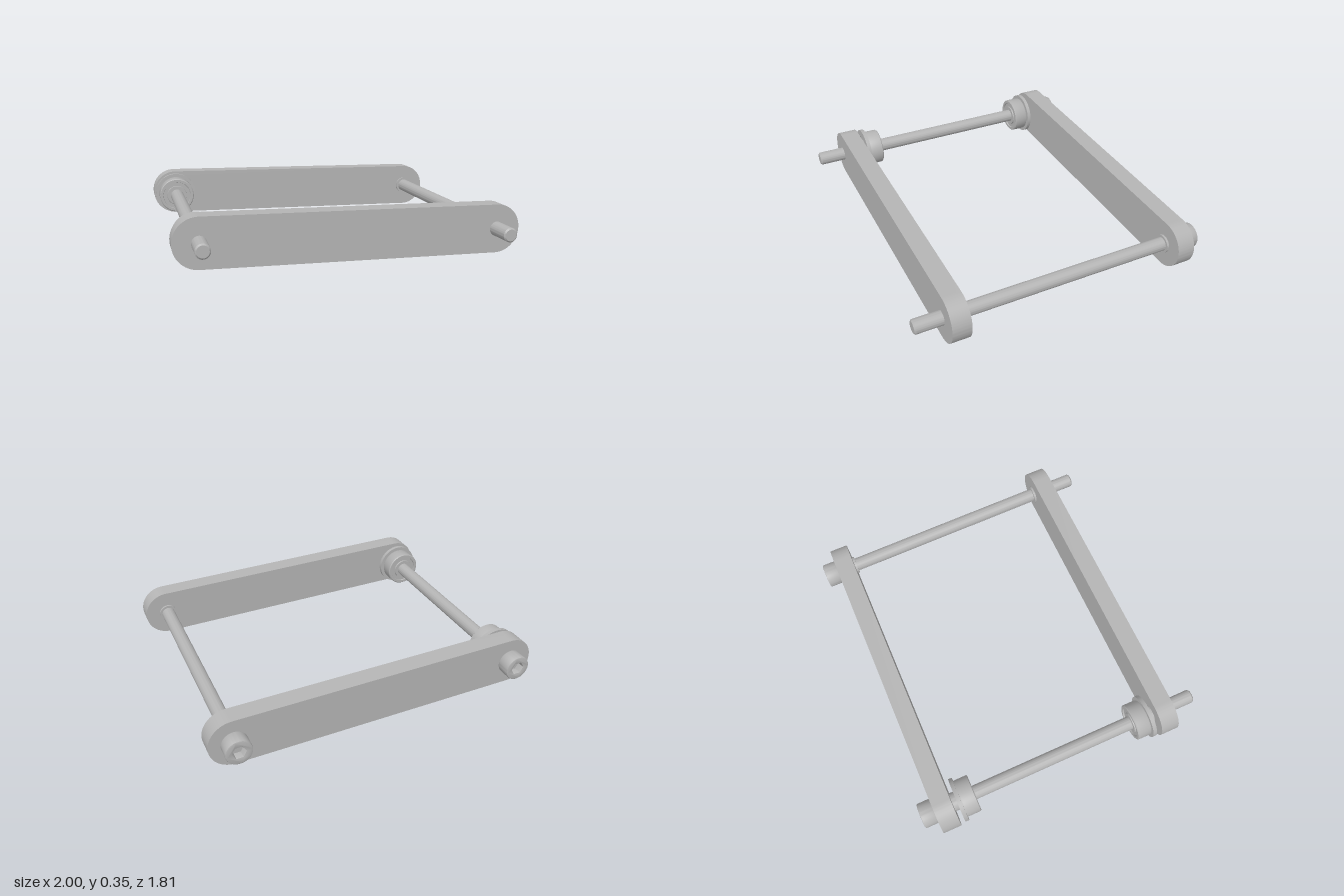
import * as THREE from 'three';
import { toCreasedNormals } from 'three/addons/utils/BufferGeometryUtils.js';

const BOLT_X = 0.84;      // bolt distance from the middle
const BAR_Z = 0.701;      // bar centre distance from the middle
const BAR_T = 0.11;       // bar thickness
const BAR_R = 0.14;       // rounded bar end
const SHAFT_R = 0.041;

export function createModel() {
  const metal = new THREE.MeshStandardMaterial({ color: 0xb4b4b4 });
  metal.name = 'grey metal';

  const model = new THREE.Group();
  model.name = 'linkFrame';
  const frame = new THREE.Group();
  frame.name = 'tiltedFrame';
  model.add(frame);

  const add = (parent, name, geometry, x = 0, z = 0) => {
    const mesh = new THREE.Mesh(toCreasedNormals(geometry, 0.5), metal);
    mesh.name = name;
    mesh.position.set(x, 0, z);
    parent.add(mesh);
    return mesh;
  };

  // Turned part along z from [radius, z] points, ordered by rising z on the outside
  const turned = (points) => {
    const pts = points.map(([r, z]) => new THREE.Vector2(r, z));
    return new THREE.LatheGeometry(pts, 48).rotateX(Math.PI / 2);
  };

  // Link bars with round ends and bolt holes
  const barShape = new THREE.Shape();
  barShape.absarc(BOLT_X, 0, BAR_R, -Math.PI / 2, Math.PI / 2, false);
  barShape.absarc(-BOLT_X, 0, BAR_R, Math.PI / 2, Math.PI * 1.5, false);
  for (const s of [-1, 1]) {
    const hole = new THREE.Path();
    hole.absarc(s * BOLT_X, 0, SHAFT_R, 0, Math.PI * 2, true);
    barShape.holes.push(hole);
  }
  const barGeometry = new THREE.ExtrudeGeometry(barShape, {
    depth: BAR_T, bevelEnabled: false, curveSegments: 32,
  }).translate(0, 0, -BAR_T / 2);
  add(frame, 'frontBar', barGeometry, 0, BAR_Z);
  add(frame, 'rearBar', barGeometry, 0, -BAR_Z);

  // Bolt shaft with a chamfered tip; its rear end is the socket floor
  const shaftGeometry = turned([
    [0, -0.795], [SHAFT_R, -0.795], [SHAFT_R, 0.91], [SHAFT_R - 0.008, 0.918], [0, 0.918],
  ]);

  // Cap head with a hexagonal socket
  const bevel = 0.006;
  const headShape = new THREE.Shape();
  headShape.absarc(0, 0, 0.074 - bevel, 0, Math.PI * 2, false);
  const socket = new THREE.Path();
  for (let i = 0; i < 6; i++) {
    const a = -i * Math.PI / 3;
    const p = [0.045 * Math.cos(a), 0.045 * Math.sin(a)];
    if (i === 0) socket.moveTo(...p); else socket.lineTo(...p);
  }
  socket.closePath();
  headShape.holes.push(socket);
  const headGeometry = new THREE.ExtrudeGeometry(headShape, {
    depth: 0.084 - 2 * bevel, bevelThickness: bevel, bevelSize: bevel,
    bevelSegments: 2, curveSegments: 32,
  }).translate(0, 0, -0.84 + bevel);

  for (const [side, x] of [['right', -BOLT_X], ['left', BOLT_X]]) {
    const bolt = new THREE.Group();
    bolt.name = side + 'Bolt';
    bolt.position.x = x;
    add(bolt, 'shaft', shaftGeometry);
    add(bolt, 'head', headGeometry);
    frame.add(bolt);
  }

  // Flanged bearing: spacer faces the bar (+z), grooved face looks inward
  const spacerGeometry = turned([[SHAFT_R, 0.61], [0.055, 0.61], [0.055, 0.648], [SHAFT_R, 0.648]]);
  const bearingGeometry = turned([
    [SHAFT_R, 0.507], [0.062, 0.507], [0.064, 0.515], [0.088, 0.515], [0.09, 0.507],
    [0.106, 0.507], [0.111, 0.512], [0.111, 0.588], [0.108, 0.594],
    [0.131, 0.594], [0.131, 0.617], [0.09, 0.617], [0.088, 0.611],
    [0.064, 0.611], [0.062, 0.617], [SHAFT_R, 0.617],
  ]);
  // Thin bush between bar and open bolt
  const bushGeometry = turned([[SHAFT_R, 0.633], [0.055, 0.633], [0.055, 0.648], [SHAFT_R, 0.648]]);

  for (const [end, turn] of [['front', 0], ['rear', Math.PI]]) {
    const bearing = new THREE.Group();
    bearing.name = end + 'Bearing';
    bearing.position.x = -BOLT_X;
    bearing.rotation.y = turn;
    add(bearing, 'spacer', spacerGeometry);
    add(bearing, 'flangedRace', bearingGeometry);
    frame.add(bearing);
    add(frame, end + 'Bush', bushGeometry, BOLT_X).rotation.y = turn;
  }

  // The whole frame sits slightly skewed
  const zAxis = new THREE.Vector3(-0.0298, 0.0155, 1).normalize();
  const yAxis = zAxis.clone().cross(new THREE.Vector3(1, -0.0268, 0.0302)).normalize();
  const xAxis = yAxis.clone().cross(zAxis);
  frame.quaternion.setFromRotationMatrix(new THREE.Matrix4().makeBasis(xAxis, yAxis, zAxis));
  frame.position.set(-0.002, 0.181, -0.043 + 0.04);
  frame.position.z = -0.043;
  return model;
}
